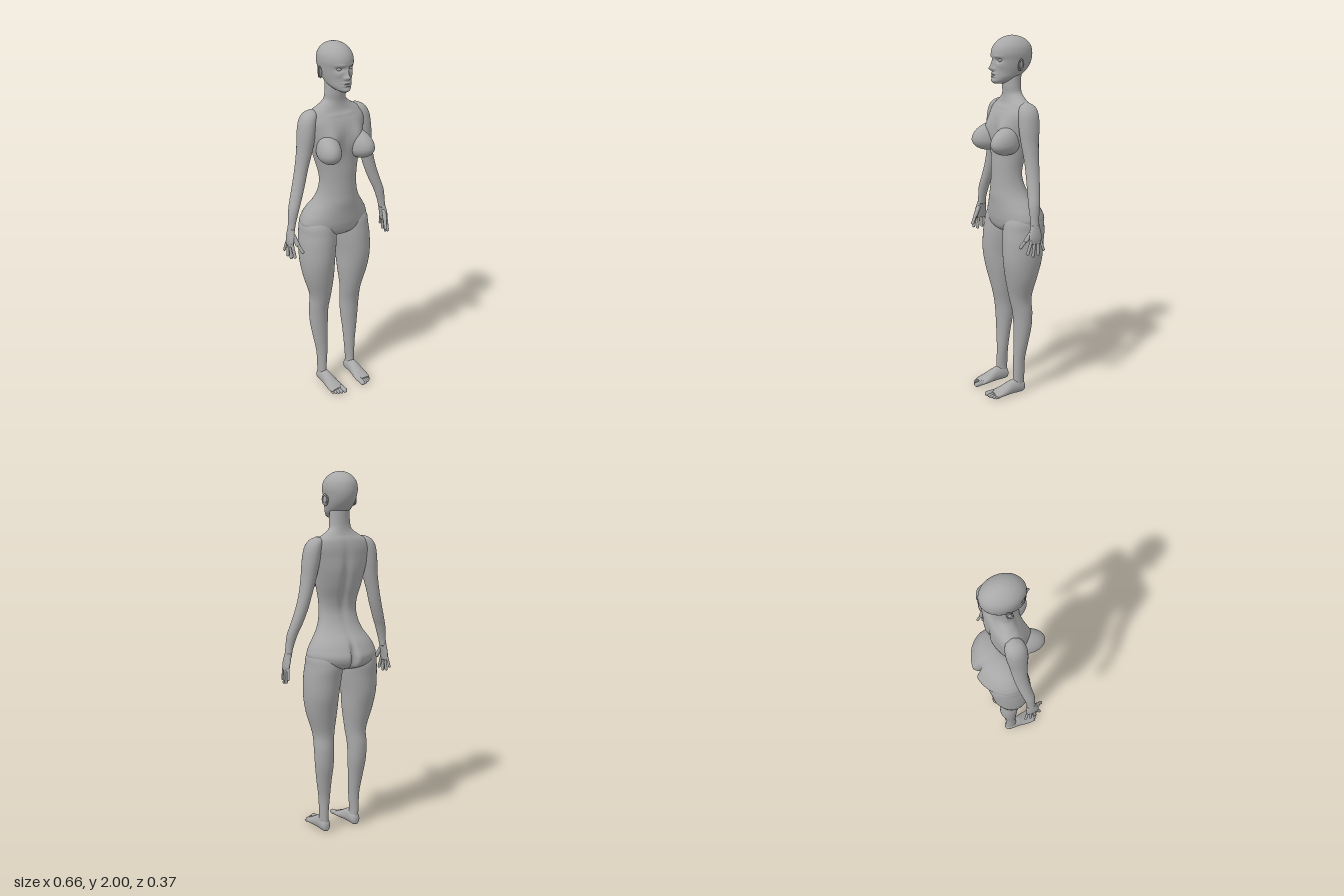
import * as THREE from 'three';

const skin = new THREE.MeshStandardMaterial({ color: 0xa8a8a8 });
skin.name = 'plain grey';

const spline = (a, b, c, d, t) =>
  0.5 * (2 * b + (c - a) * t + (2 * a - 5 * b + 4 * c - d) * t * t + (3 * b - a - 3 * c + d) * t * t * t);
const bell = (x, y, cx, cy, sx, sy) => Math.exp(-(((x - cx) / sx) ** 2) - ((y - cy) / sy) ** 2);

// Smooth loft through rows [y, centreX, centreZ, halfWidth, frontDepth, backDepth], lowest row first.
function loft(rows, side = 1, seg = 40, steps = 6, relief = null) {
  const pos = [], index = [];
  const n = (rows.length - 1) * steps;
  for (let i = 0; i <= n; i++) {
    const k = Math.min(Math.floor(i / steps), rows.length - 2);
    const t = i / steps - k;
    const at = j => rows[Math.max(0, Math.min(rows.length - 1, j))];
    const [y, cx, cz, rx, rf, rb] = rows[0].map((_, c) =>
      spline(at(k - 1)[c], at(k)[c], at(k + 1)[c], at(k + 2)[c], t));
    for (let j = 0; j < seg; j++) {
      const a = (j / seg) * Math.PI * 2;
      const c = Math.cos(a);
      const x = cx * side + rx * Math.sin(a);
      let z = cz + c * (c > 0 ? rf : rb);
      if (relief) z += relief(Math.abs(x), y, c);
      pos.push(x, y, z);
      if (i < n) {
        const p = i * seg + j, q = i * seg + ((j + 1) % seg);
        index.push(p, q, p + seg, q, q + seg, p + seg);
      }
    }
  }
  // end caps
  const lo = pos.length / 3;
  const first = rows[0], last = rows[rows.length - 1];
  pos.push(first[1] * side, first[0], first[2], last[1] * side, last[0], last[2]);
  for (let j = 0; j < seg; j++) {
    const q = (j + 1) % seg;
    index.push(lo, q, j, lo + 1, n * seg + j, n * seg + q);
  }
  const g = new THREE.BufferGeometry();
  g.setAttribute('position', new THREE.Float32BufferAttribute(pos, 3));
  g.setIndex(index);
  g.computeVertexNormals();
  return g;
}

function add(group, name, geometry) {
  const mesh = new THREE.Mesh(geometry, skin);
  mesh.name = name;
  group.add(mesh);
  return mesh;
}

// Rounded finger or toe between two points
function digit(group, name, from, to, r) {
  const a = new THREE.Vector3(...from), b = new THREE.Vector3(...to);
  const dir = b.clone().sub(a);
  const mesh = add(group, name, new THREE.CapsuleGeometry(r, Math.max(0.001, dir.length() - r), 6, 12));
  mesh.position.copy(a).add(b).multiplyScalar(0.5);
  mesh.quaternion.setFromUnitVectors(new THREE.Vector3(0, 1, 0), dir.normalize());
  return mesh;
}

function ball(group, name, p, s) {
  const mesh = add(group, name, new THREE.SphereGeometry(1, 32, 24));
  mesh.position.set(...p);
  mesh.scale.set(...s);
  return mesh;
}

const TORSO = [
  [0.935, 0, -0.02, 0.03, 0.03, 0.03], [0.955, 0, -0.03, 0.11, 0.085, 0.11],
  [0.98, 0, -0.03, 0.175, 0.11, 0.148], [1.02, 0, -0.03, 0.203, 0.12, 0.158],
  [1.06, 0, -0.03, 0.195, 0.123, 0.142], [1.1, 0, -0.03, 0.172, 0.125, 0.118],
  [1.15, 0, -0.02, 0.138, 0.118, 0.085], [1.2, 0, -0.01, 0.118, 0.105, 0.065],
  [1.26, 0, 0, 0.11, 0.092, 0.057], [1.32, 0, 0, 0.115, 0.09, 0.062],
  [1.4, 0, -0.01, 0.135, 0.095, 0.075], [1.48, 0, -0.015, 0.155, 0.1, 0.085],
  [1.55, 0, -0.02, 0.172, 0.1, 0.08], [1.6, 0, -0.025, 0.182, 0.09, 0.073],
  [1.64, 0, -0.03, 0.16, 0.07, 0.06], [1.67, 0, -0.03, 0.105, 0.06, 0.045],
  [1.7, 0, -0.025, 0.066, 0.052, 0.042], [1.74, 0, -0.015, 0.058, 0.045, 0.05],
  [1.8, 0, -0.015, 0.055, 0.045, 0.055]
];
const HEAD = [
  [1.752, 0, 0.06, 0.014, 0.024, 0.03], [1.764, 0, 0.05, 0.036, 0.046, 0.05],
  [1.785, 0, 0.02, 0.055, 0.076, 0.075], [1.81, 0, -0.005, 0.066, 0.099, 0.083],
  [1.84, 0, -0.015, 0.075, 0.107, 0.1], [1.875, 0, -0.02, 0.082, 0.113, 0.11],
  [1.91, 0, -0.02, 0.087, 0.117, 0.113], [1.945, 0, -0.02, 0.081, 0.105, 0.105],
  [1.975, 0, -0.02, 0.06, 0.077, 0.08], [1.993, 0, -0.02, 0.032, 0.041, 0.043],
  [2.0, 0, -0.02, 0.006, 0.007, 0.007]
];
const ARM = [
  [1.03, 0.304, 0.01, 0.018, 0.025, 0.025], [1.07, 0.297, 0.01, 0.02, 0.024, 0.024],
  [1.14, 0.282, 0.005, 0.028, 0.03, 0.03], [1.2, 0.26, -0.005, 0.032, 0.033, 0.033],
  [1.28, 0.233, -0.015, 0.034, 0.036, 0.036], [1.36, 0.212, -0.02, 0.035, 0.04, 0.04],
  [1.45, 0.192, -0.02, 0.041, 0.048, 0.048], [1.53, 0.18, -0.022, 0.046, 0.056, 0.056],
  [1.6, 0.168, -0.025, 0.046, 0.055, 0.055], [1.64, 0.153, -0.027, 0.036, 0.042, 0.042],
  [1.66, 0.14, -0.028, 0.01, 0.012, 0.012]
];
const PALM = [
  [0.945, 0.316, 0.012, 0.007, 0.03, 0.03], [0.97, 0.315, 0.013, 0.012, 0.037, 0.035],
  [1.0, 0.311, 0.012, 0.015, 0.036, 0.033], [1.045, 0.302, 0.01, 0.018, 0.024, 0.024]
];
const LEG = [
  [0.04, 0.098, -0.005, 0.025, 0.03, 0.038], [0.1, 0.1, -0.01, 0.025, 0.033, 0.034],
  [0.2, 0.098, -0.012, 0.032, 0.032, 0.035], [0.3, 0.103, -0.02, 0.043, 0.038, 0.042],
  [0.4, 0.106, -0.03, 0.053, 0.05, 0.05], [0.49, 0.107, -0.029, 0.056, 0.057, 0.055],
  [0.58, 0.104, -0.015, 0.061, 0.063, 0.065], [0.7, 0.115, -0.015, 0.085, 0.09, 0.09],
  [0.8, 0.12, -0.02, 0.095, 0.11, 0.11], [0.9, 0.114, -0.025, 0.101, 0.115, 0.118],
  [0.97, 0.108, -0.03, 0.1, 0.113, 0.122], [1.03, 0.104, -0.03, 0.094, 0.1, 0.11],
  [1.1, 0.09, -0.03, 0.05, 0.06, 0.06]
];
// Foot rows run heel to toe: [z, x, -height, halfWidth, below, above]
const FOOT = [
  [-0.048, 0.098, -0.03, 0.01, 0.016, 0.016], [-0.035, 0.098, -0.035, 0.025, 0.033, 0.035],
  [0, 0.098, -0.04, 0.03, 0.04, 0.045], [0.04, 0.097, -0.035, 0.033, 0.034, 0.045],
  [0.09, 0.096, -0.025, 0.041, 0.024, 0.03], [0.13, 0.094, -0.02, 0.044, 0.019, 0.016],
  [0.15, 0.093, -0.017, 0.036, 0.013, 0.012]
];

// Spine groove, upper chest, seat division
const torsoRelief = (x, y, c) => c > 0
  ? 0.035 * c * bell(x, y, 0.09, 1.5, 0.05, 0.07) + 0.004 * c * bell(x, y, 0.04, 1.63, 0.05, 0.01)
  : 0.045 * bell(x, y, 0, 1.0, 0.016, 0.075) + 0.014 * bell(x, y, 0, 1.4, 0.025, 0.17);
// Brow, eye sockets, nose, cheeks, mouth and chin
const faceRelief = (x, y, c) => c <= 0 ? 0 : c * (
  0.024 * bell(x, y, 0, 1.832, 0.012, 0.013) + 0.014 * bell(x, y, 0, 1.855, 0.009, 0.02)
  + 0.006 * bell(x, y, 0.015, 1.828, 0.006, 0.008) - 0.015 * bell(x, y, 0.034, 1.874, 0.018, 0.011)
  + 0.005 * bell(x, y, 0.034, 1.893, 0.025, 0.008) + 0.005 * bell(x, y, 0.048, 1.845, 0.018, 0.016)
  + 0.009 * bell(x, y, 0, 1.803, 0.022, 0.006) + 0.009 * bell(x, y, 0, 1.79, 0.02, 0.006)
  - 0.005 * bell(x, y, 0, 1.797, 0.024, 0.003) + 0.006 * bell(x, y, 0, 1.768, 0.02, 0.01));

export function createModel() {
  const model = new THREE.Group();
  model.name = 'figure';
  add(model, 'torso', loft(TORSO, 1, 120, 8, torsoRelief));
  add(model, 'head', loft(HEAD, 1, 140, 12, faceRelief));

  for (const s of [1, -1]) {
    const label = s > 0 ? 'left' : 'right';
    const half = new THREE.Group();
    half.name = label + 'Side';
    model.add(half);

    // Face details
    ball(half, label + 'Eye', [s * 0.033, 1.874, 0.067], [0.014, 0.009, 0.013]);
    ball(half, label + 'Ear', [s * 0.088, 1.848, -0.022], [0.009, 0.03, 0.017]).rotation.set(-0.15, s * 0.4, 0);
    const rim = add(half, label + 'EarRim', new THREE.TorusGeometry(0.017, 0.004, 8, 28));
    rim.position.set(s * 0.095, 1.853, -0.023);
    rim.rotation.set(0, s * (Math.PI / 2 + 0.4), 0);
    rim.scale.set(0.85, 1.45, 1);

    // Chest: rounded below, long slope above
    const chest = new THREE.SphereGeometry(1, 40, 32);
    const p = chest.attributes.position;
    for (let i = 0; i < p.count; i++) {
      const y = p.getY(i);
      if (y > 0) p.setXYZ(i, p.getX(i), y * 1.65, p.getZ(i) - 0.45 * y * y);
    }
    chest.computeVertexNormals();
    const bust = add(half, label + 'Chest', chest);
    bust.position.set(s * 0.098, 1.445, 0.07);
    bust.scale.set(0.062, 0.06, 0.094);
    bust.rotation.y = s * 0.22;

    // Arm and hand
    add(half, label + 'Arm', loft(ARM, s));
    add(half, label + 'Palm', loft(PALM, s, 28));
    const tips = [[0.312, 0.893, 0.06], [0.319, 0.88, 0.031], [0.322, 0.886, 0.001], [0.325, 0.907, -0.03]];
    tips.forEach(([x, y, z], i) =>
      digit(half, label + 'Finger', [s * 0.316, 0.965, 0.039 - i * 0.018], [s * x, y, z], i === 3 ? 0.007 : 0.0085));
    digit(half, label + 'ThumbBase', [s * 0.304, 1.015, 0.028], [s * 0.292, 0.96, 0.06], 0.012);
    digit(half, label + 'Thumb', [s * 0.294, 0.97, 0.055], [s * 0.277, 0.922, 0.085], 0.009);

    // Leg, foot and toes
    add(half, label + 'Leg', loft(LEG, s, 56));
    add(half, label + 'Foot', loft(FOOT, s, 36).rotateX(Math.PI / 2));
    [[0.064, 0.188, 0.014], [0.086, 0.182, 0.0095], [0.102, 0.175, 0.009], [0.116, 0.166, 0.0085], [0.128, 0.154, 0.008]]
      .forEach(([x, z, r]) => digit(half, label + 'Toe', [s * (x * 0.9 + 0.01), 0.02, z - 0.06], [s * x, r + 0.002, z - r / 2], r));
  }
  return model;
}
